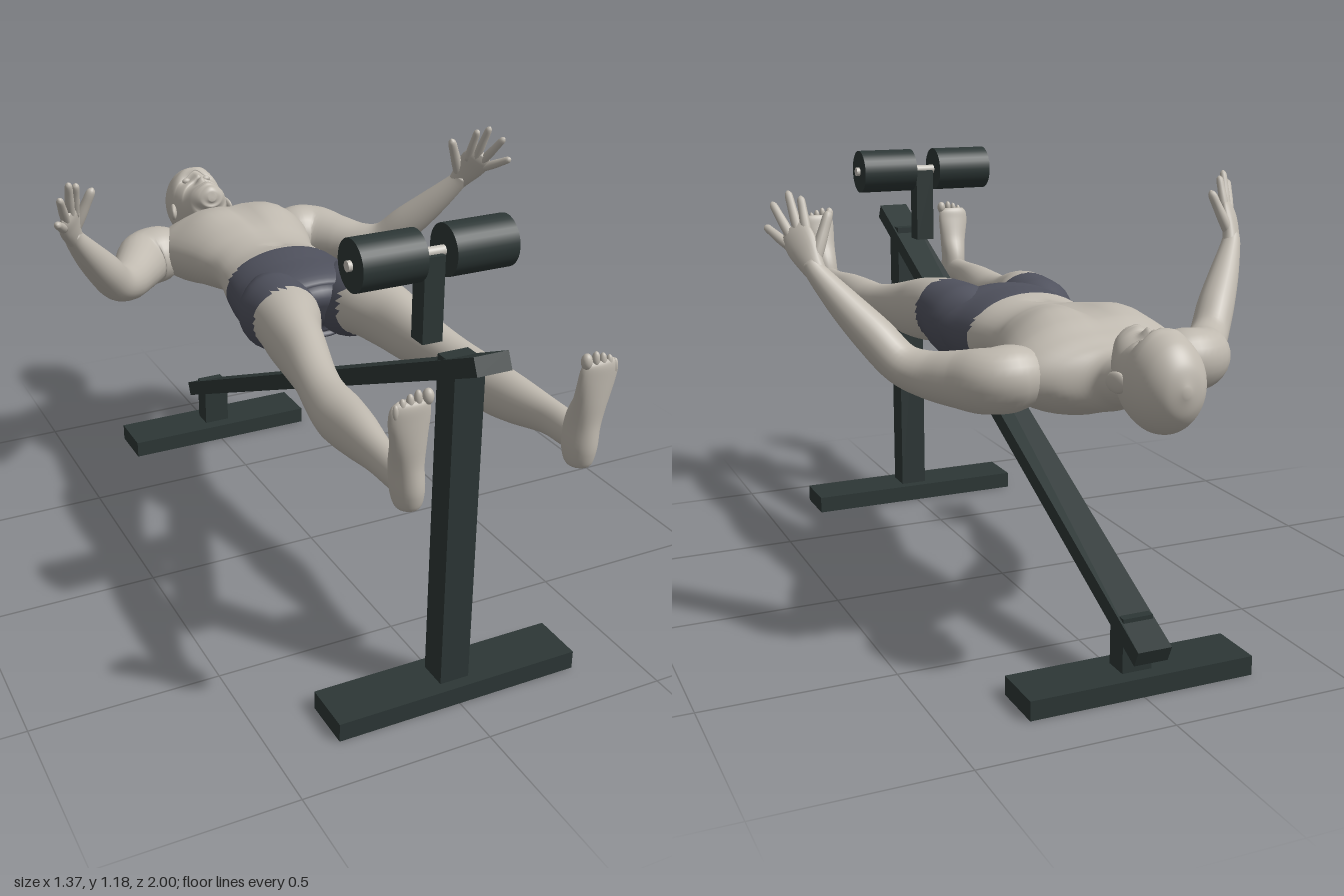
import * as THREE from 'three';

const mat = (name, color) => {
  const m = new THREE.MeshStandardMaterial({ color });
  m.name = name;
  return m;
};
const V = (a) => new THREE.Vector3(...a);
const bump = (d, w) => Math.exp(-(d * d) / (w * w));

// Smooth closed loft through sections [x, y, z, halfWidth, halfDepth]; width lies along `side`
function loft(sections, side, { n = 24, sub = 5, deform } = {}) {
  const path = new THREE.CatmullRomCurve3(sections.map((s) => V(s.slice(0, 3))), false, 'catmullrom', 0.5);
  const size = new THREE.CatmullRomCurve3(sections.map((s) => V([s[3], s[4], 0])), false, 'catmullrom', 0.5);
  const rings = (sections.length - 1) * sub;
  const pos = [], idx = [];
  for (let i = 0; i <= rings; i++) {
    const c = path.getPoint(i / rings), r = size.getPoint(i / rings), t = path.getTangent(i / rings);
    const u = V(side).addScaledVector(t, -V(side).dot(t)).normalize();
    const v = t.clone().cross(u);
    for (let j = 0; j < n; j++) {
      const a = (j / n) * Math.PI * 2;
      const p = c.clone().addScaledVector(u, r.x * Math.cos(a)).addScaledVector(v, r.y * Math.sin(a));
      if (deform) deform(p, c);
      pos.push(p.x, p.y, p.z);
      const k = (j + 1) % n, A = i * n + j, B = i * n + k;
      if (i < rings) idx.push(A, B, A + n, B, B + n, A + n);
    }
  }
  // end caps
  const s0 = sections[0], s1 = sections[sections.length - 1], c0 = (rings + 1) * n, last = rings * n;
  pos.push(...s0.slice(0, 3), ...s1.slice(0, 3));
  for (let j = 0; j < n; j++) {
    const k = (j + 1) % n;
    idx.push(c0, k, j, c0 + 1, last + j, last + k);
  }
  const g = new THREE.BufferGeometry();
  g.setAttribute('position', new THREE.Float32BufferAttribute(pos, 3));
  g.setIndex(idx);
  g.computeVertexNormals();
  return g;
}

// Sort triangles into two material groups: 0 where test(z) fails, 1 where it holds
function splitByZ(g, test) {
  const p = g.attributes.position, src = g.index.array, sets = [[], []];
  for (let i = 0; i < src.length; i += 3) {
    const t = [src[i], src[i + 1], src[i + 2]];
    const z = (p.getZ(t[0]) + p.getZ(t[1]) + p.getZ(t[2])) / 3;
    sets[test(z) ? 1 : 0].push(...t);
  }
  g.setIndex([...sets[0], ...sets[1]]);
  g.addGroup(0, sets[0].length, 0);
  g.addGroup(sets[0].length, sets[1].length, 1);
  return g;
}

export function createModel() {
  const model = new THREE.Group();
  model.name = 'benchWithFigure';
  const frame = mat('darkFrame', 0x2d3736);
  const steel = mat('paleSteel', 0xc6c2ba);
  const skin = mat('skin', 0xbfb9af);
  const cloth = mat('shorts', 0x50525e);

  const add = (name, geo, material, parent = model) => {
    const m = new THREE.Mesh(geo, material);
    m.name = name;
    parent.add(m);
    return m;
  };
  const box = (name, w, h, d, x, y, z) => {
    const m = add(name, new THREE.BoxGeometry(w, h, d), frame);
    m.position.set(x, y, z);
    return m;
  };
  const ball = (name, p, r, parent) => {
    const m = add(name, new THREE.SphereGeometry(1, 16, 12), skin, parent);
    m.position.set(...p);
    m.scale.set(...r);
    return m;
  };

  // Bench frame
  box('frontFoot', 0.67, 0.05, 0.14, 0, 0.025, 0.79);
  box('rearFoot', 0.6, 0.05, 0.145, 0, 0.025, -0.778);
  box('frontPost', 0.08, 0.87, 0.078, 0, 0.485, 0.79);
  box('rearPost', 0.08, 0.14, 0.065, 0, 0.12, -0.778);
  const beam = box('slopingBeam', 0.09, 0.045, 1.987, 0, 0.5375, 0.0165);
  beam.rotation.x = -Math.atan2(0.835, 1.803);
  box('rollerPost', 0.054, 0.215, 0.054, 0, 1.008, 0.632);

  // Rollers and axle
  const rod = (name, r, len, x, m) => {
    const c = add(name, new THREE.CylinderGeometry(r, r, len, 32), m);
    c.rotation.z = Math.PI / 2;
    c.position.set(x, 1.118, 0.632);
  };
  rod('axle', 0.013, 0.43, 0, steel);
  for (const s of [-1, 1]) rod(s > 0 ? 'leftRoller' : 'rightRoller', 0.064, 0.167, s * 0.121, frame);

  const body = new THREE.Group();
  body.name = 'figure';
  model.add(body);

  // Torso and neck, with chest, navel and spine modelling
  const torso = loft([
    [0, 0.74, 0.055, 0.04, 0.04], [0, 0.75, 0.035, 0.13, 0.085], [0, 0.757, 0, 0.2, 0.106],
    [0, 0.747, -0.09, 0.192, 0.119], [0, 0.755, -0.18, 0.18, 0.112], [0, 0.765, -0.26, 0.167, 0.09],
    [0, 0.766, -0.33, 0.166, 0.098], [0, 0.767, -0.4, 0.19, 0.11], [0, 0.76, -0.5, 0.225, 0.118],
    [0, 0.75, -0.57, 0.245, 0.12], [0, 0.747, -0.63, 0.235, 0.1], [0, 0.747, -0.675, 0.17, 0.08],
    [0, 0.75, -0.71, 0.09, 0.067], [0, 0.757, -0.75, 0.072, 0.062], [0, 0.775, -0.82, 0.066, 0.06],
  ], [1, 0, 0], {
    n: 40, sub: 6,
    deform: (p, c) => {
      const x = Math.abs(p.x), up = p.y > c.y;
      if (up) {
        p.y += 0.02 * bump(x - 0.11, 0.075) * bump(p.z + 0.5, 0.085);
        p.y -= 0.012 * bump(x, 0.02) * bump(p.z + 0.46, 0.13);
        p.y -= 0.012 * bump(x, 0.012) * bump(p.z + 0.235, 0.014);
      } else {
        p.y += 0.014 * bump(x, 0.03) * bump(p.z + 0.35, 0.22);
        p.y -= 0.012 * bump(x - 0.09, 0.06) * bump(p.z + 0.07, 0.08);
        p.y += 0.014 * bump(x, 0.018) * bump(p.z + 0.05, 0.09);
      }
    },
  });
  add('torso', splitByZ(torso, (z) => z > -0.182), [skin, cloth], body);

  // Head with eye sockets, brow, nose and mouth
  const head = loft([
    [0, 0.852, -0.727, 0.012, 0.012], [0, 0.85, -0.738, 0.038, 0.032], [0, 0.838, -0.765, 0.058, 0.05],
    [0, 0.808, -0.8, 0.074, 0.083], [0, 0.788, -0.85, 0.085, 0.112], [0, 0.785, -0.9, 0.09, 0.118],
    [0, 0.785, -0.95, 0.078, 0.1], [0, 0.785, -0.984, 0.05, 0.062], [0, 0.785, -1, 0.008, 0.01],
  ], [1, 0, 0], {
    n: 64, sub: 9,
    deform: (p, c) => {
      if (p.y < c.y) return;
      const x = Math.abs(p.x);
      p.y -= 0.014 * bump(x - 0.034, 0.018) * bump(p.z + 0.866, 0.016);
      p.y += 0.006 * bump(x - 0.03, 0.025) * bump(p.z + 0.892, 0.012);
      p.y += 0.014 * bump(x, 0.011) * bump(p.z + 0.842, 0.028);
      p.y += 0.018 * bump(x, 0.015) * bump(p.z + 0.818, 0.013);
      p.y += 0.009 * bump(x, 0.024) * (bump(p.z + 0.778, 0.006) + bump(p.z + 0.764, 0.006));
      p.y += 0.006 * bump(x, 0.025) * bump(p.z + 0.742, 0.012);
    },
  });
  add('head', head, skin, body);

  for (const s of [-1, 1]) {
    const label = s > 0 ? 'left' : 'right';
    const mir = (list) => list.map(([x, ...rest]) => [x * s, ...rest]);
    const part = (name, list, side, opt) => add(label + name, loft(mir(list), mir([side])[0], opt), skin, body);

    ball(label + 'Eye', [s * 0.034, 0.872, -0.866], [0.014, 0.01, 0.009], body);
    const ear = ball(label + 'Ear', [s * 0.09, 0.782, -0.845], [0.011, 0.025, 0.034], body);
    ear.rotation.y = s * 0.3;

    // Leg: shorts leg, thigh, knee, calf
    const leg = loft(mir([
      [0.1, 0.752, -0.1, 0.05, 0.08], [0.112, 0.757, 0, 0.102, 0.107], [0.124, 0.774, 0.1, 0.096, 0.092],
      [0.147, 0.763, 0.2, 0.077, 0.09], [0.162, 0.749, 0.3, 0.064, 0.081], [0.187, 0.741, 0.42, 0.055, 0.06],
      [0.2, 0.73, 0.5, 0.056, 0.061], [0.206, 0.722, 0.59, 0.062, 0.067], [0.214, 0.728, 0.7, 0.052, 0.061],
      [0.226, 0.736, 0.82, 0.038, 0.045], [0.228, 0.737, 0.9, 0.035, 0.042], [0.228, 0.735, 0.96, 0.03, 0.04],
    ]), [1, 0, 0], { n: 28, sub: 6 });
    add(label + 'Leg', splitByZ(leg, (z) => z < 0.105), [skin, cloth], body);

    // Foot and toes
    part('Foot', [
      [0.224, 0.668, 0.955, 0.006, 0.008], [0.224, 0.678, 0.954, 0.028, 0.034], [0.225, 0.72, 0.95, 0.037, 0.048],
      [0.229, 0.78, 0.951, 0.038, 0.045], [0.234, 0.84, 0.966, 0.043, 0.031], [0.239, 0.9, 0.976, 0.05, 0.021],
      [0.24, 0.932, 0.98, 0.047, 0.016], [0.24, 0.945, 0.981, 0.032, 0.009],
    ], [1, 0, 0]);
    [[0.2, 0.948, 0.013], [0.224, 0.949, 0.0095], [0.243, 0.943, 0.009], [0.261, 0.935, 0.0085], [0.277, 0.924, 0.008]]
      .forEach(([x, y, r], i) => ball(`${label}Toe${i + 1}`, [s * x, y, 0.984], [r, 0.019, r], body));

    // Arm: shoulder, elbow, wrist
    part('Arm', [
      [0.15, 0.75, -0.58, 0.05, 0.05], [0.22, 0.748, -0.59, 0.083, 0.078], [0.285, 0.742, -0.575, 0.085, 0.076],
      [0.335, 0.737, -0.51, 0.072, 0.068], [0.385, 0.737, -0.44, 0.06, 0.058], [0.435, 0.758, -0.385, 0.052, 0.052],
      [0.485, 0.82, -0.333, 0.052, 0.05], [0.54, 0.89, -0.28, 0.042, 0.041], [0.59, 0.96, -0.23, 0.029, 0.028],
      [0.605, 0.99, -0.21, 0.024, 0.022],
    ], [0, 1, -1]);

    // Hand with four fingers and thumb
    part('Palm', [
      [0.588, 0.955, -0.232, 0.024, 0.022], [0.602, 0.985, -0.213, 0.032, 0.022], [0.614, 1.02, -0.188, 0.042, 0.02],
      [0.623, 1.05, -0.163, 0.042, 0.016], [0.628, 1.07, -0.148, 0.03, 0.008],
    ], [0.05, -0.035, 0.04]);
    const fingers = [
      ['Index', [0.602, 1.062, -0.175], [0.604, 1.145, -0.138]],
      ['Middle', [0.619, 1.064, -0.158], [0.63, 1.157, -0.115]],
      ['Ring', [0.637, 1.053, -0.145], [0.664, 1.127, -0.087]],
      ['Little', [0.648, 1.032, -0.137], [0.679, 1.066, -0.072]],
      ['Thumb', [0.592, 1.0, -0.215], [0.546, 1.112, -0.188]],
    ];
    for (const [name, a, b] of fingers) {
      const at = (t, r) => [...V(a).lerp(V(b), t).toArray(), r, r];
      const k = name === 'Thumb' ? 1.25 : 1;
      part(name + 'Finger', [at(-0.2, 0.012 * k), at(0.25, 0.0125 * k), at(0.6, 0.011 * k), at(0.9, 0.0095 * k), at(1, 0.003)],
        [1, 0, -0.3], { n: 12, sub: 4 });
    }
  }
  return model;
}
